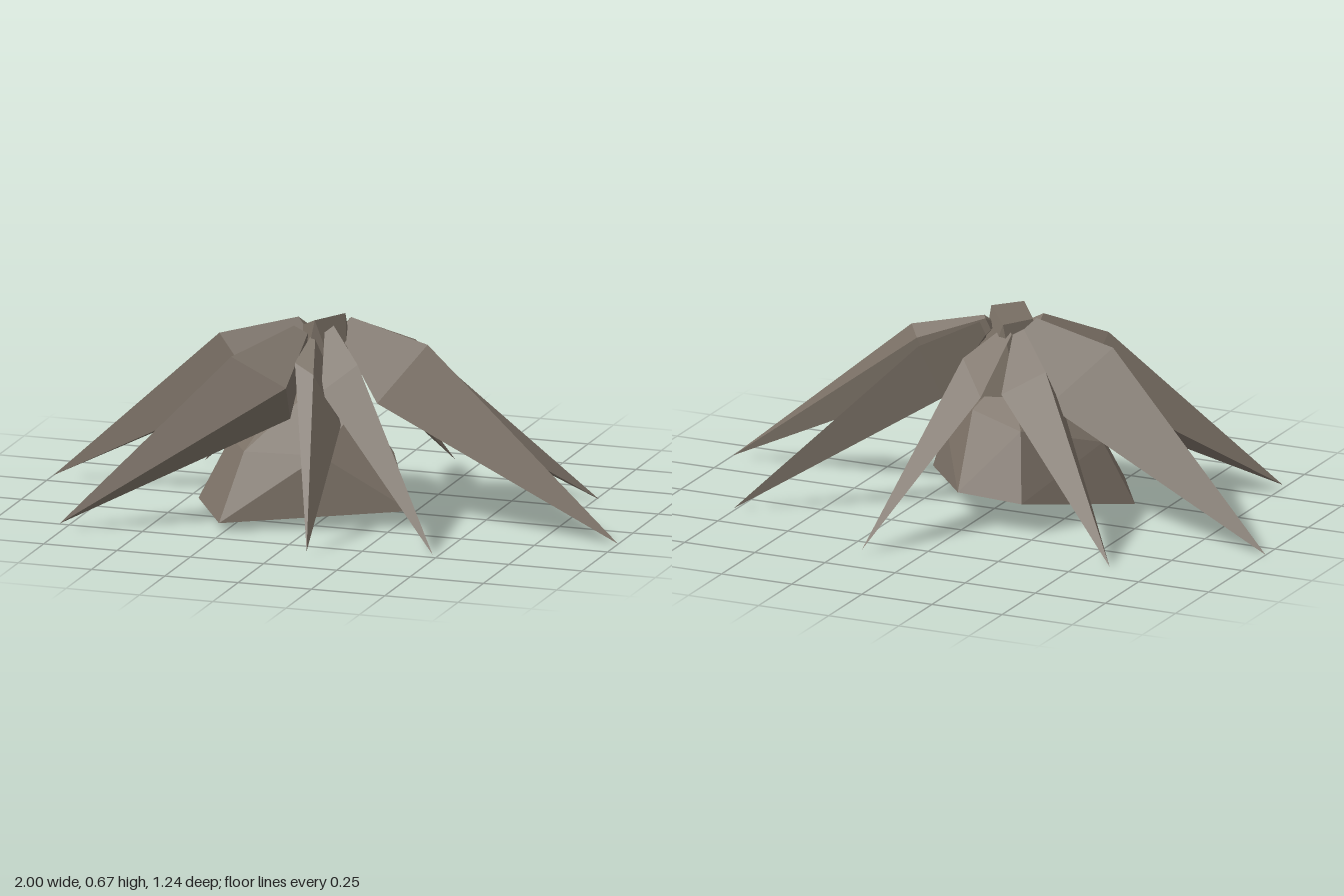
import * as THREE from 'three';
import { ConvexGeometry } from 'three/addons/geometries/ConvexGeometry.js';

const vec = (p) => new THREE.Vector3(...p);

// Each spike: tip, the corners of its section at the bend, and where its root aims
const SPIKES = [
  { name: 'backSpike', tip: [0.18, 0.02, -0.62], root: [-0.06, 0.65, 0.08], bend: [[-0.04, 0.44, -0.19], [0.07, 0.53, -0.09], [0.13, 0.38, -0.1]] },
  { name: 'backLeftSpike', tip: [0.76, 0.005, -0.36], root: [-0.01, 0.66, 0.02], bend: [[0.22, 0.555, -0.11], [0.24, 0.4, -0.01], [0.15, 0.38, -0.07]] },
  { name: 'leftSpike', tip: [1, 0.005, 0.145], root: [-0.04, 0.67, 0.02], bend: [[0.31, 0.58, 0.03], [0.2, 0.42, 0.21], [0.2, 0.4, 0.0], [0.27, 0.55, -0.015]] },
  { name: 'frontLeftSpike', tip: [0.48, 0.005, 0.47], root: [-0.01, 0.68, 0.11], bend: [[0.02, 0.45, 0.24], [0.13, 0.54, 0.2], [0.15, 0.38, 0.13]] },
  { name: 'frontSpike', tip: [0.1, 0.02, 0.615], root: [-0.04, 0.63, 0.12], bend: [[-0.07, 0.54, 0.24], [0.0, 0.51, 0.26], [0.08, 0.34, 0.22]] },
  { name: 'frontRightSpike', tip: [-0.76, 0.025, 0.565], root: [-0.05, 0.665, 0.1], bend: [[-0.27, 0.555, 0.29], [-0.26, 0.42, 0.13], [-0.09, 0.46, 0.27], [-0.1, 0.34, 0.2]] },
  { name: 'rightSpike', tip: [-1, 0.005, -0.07], root: [-0.03, 0.67, 0.06], bend: [[-0.38, 0.575, 0.09], [-0.22, 0.4, -0.06], [-0.24, 0.42, 0.14]] },
  { name: 'backRightSpike', tip: [-0.6, 0.005, -0.4], root: [-0.05, 0.65, 0.06], bend: [[-0.1, 0.45, -0.16], [-0.22, 0.52, -0.08], [-0.25, 0.36, 0.0]] },
];

export function createModel() {
  const model = new THREE.Group();
  const stone = new THREE.MeshStandardMaterial({ color: 0x7a7065 });
  stone.name = 'grey brown';

  const addHull = (name, points) => {
    const mesh = new THREE.Mesh(new ConvexGeometry(points), stone);
    mesh.name = name;
    model.add(mesh);
  };

  // Spikes: narrow root at the hub, wide bend, sharp tip
  for (const { name, tip, root, bend } of SPIKES) {
    const corners = bend.map(vec);
    const roots = corners.map((c) => c.clone().lerp(vec(root), 0.75));
    addHull(name, [...roots, ...corners, vec(tip)]);
  }

  // Faceted core with a tilted five-sided underside
  addHull('core', [
    [-0.43, 0.035, 0.15], [-0.27, 0.03, 0.41], [0.3, 0.06, 0.17], [0.02, 0.125, -0.235], [-0.2, 0.11, -0.22],
    [-0.33, 0.24, 0.12], [-0.23, 0.24, 0.28], [0.02, 0.24, 0.25], [0.22, 0.23, 0.1],
    [0.05, 0.35, -0.06], [-0.15, 0.32, -0.12], [-0.15, 0.4, 0.1], [0.1, 0.38, 0.12], [-0.02, 0.46, 0.07],
  ].map(vec));

  // Angular crown where the spikes meet
  addHull('crown', [
    [-0.03, 0.665, 0.16], [0.04, 0.67, 0.06], [-0.09, 0.63, 0.1], [-0.03, 0.63, 0.0],
    [0.08, 0.36, 0.14], [-0.1, 0.36, 0.14], [-0.1, 0.36, -0.02], [0.06, 0.36, -0.02],
  ].map(vec));

  return model;
}
